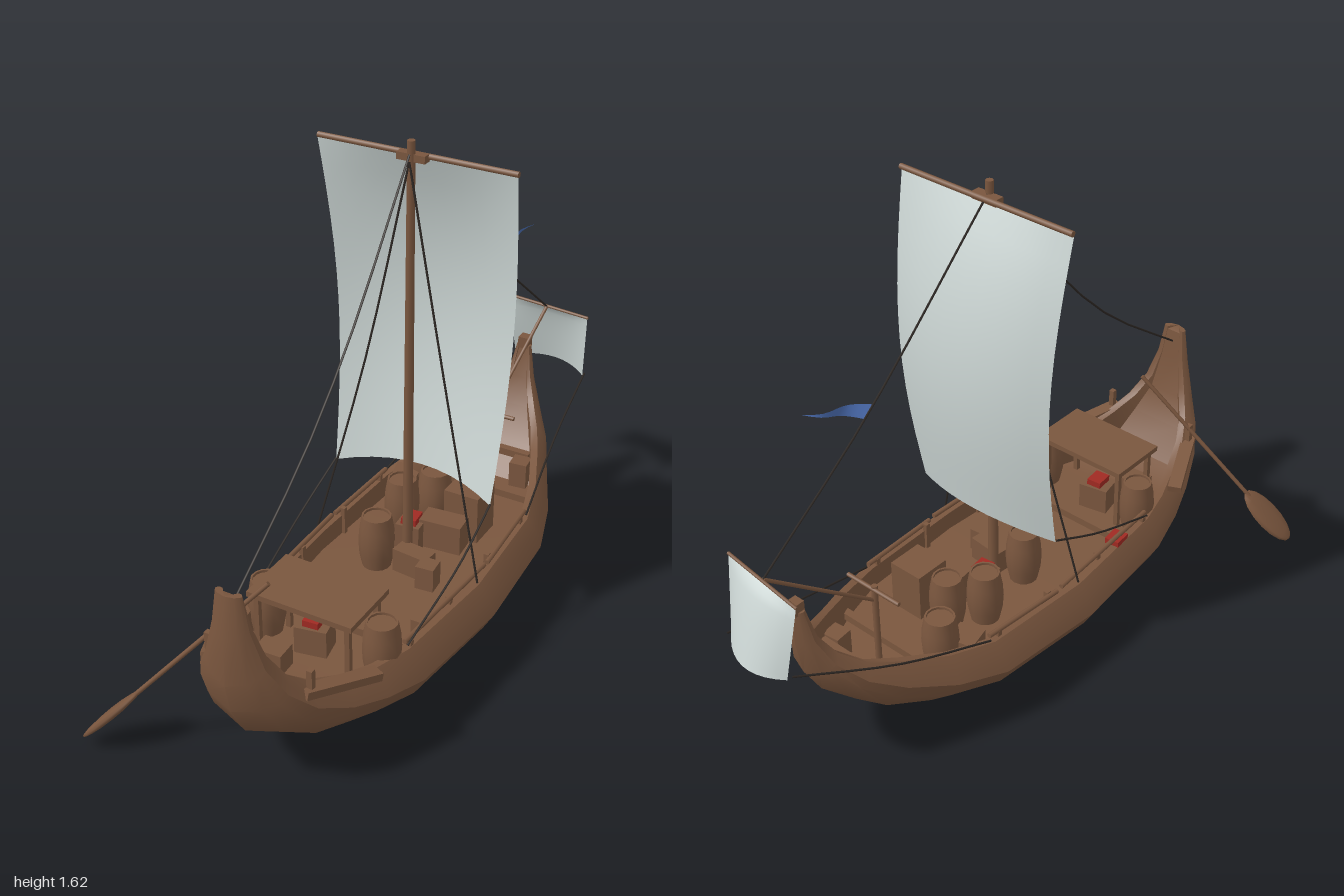
import * as THREE from 'three';
import { toCreasedNormals } from 'three/addons/utils/BufferGeometryUtils.js';

const CX = 0.085; // centre line of the ship
const mat = (name, color, side = THREE.FrontSide) => {
  const m = new THREE.MeshStandardMaterial({ color, side });
  m.name = name;
  return m;
};
const V = (x, y, z) => new THREE.Vector3(x, y, z);

export function createModel() {
  const ship = new THREE.Group();
  ship.name = 'sailingBoat';
  const wood = mat('brown wood', 0x7a563e);
  const canvas = mat('pale canvas', 0xccd6d4, THREE.DoubleSide);
  const ropeMat = mat('dark rope', 0x2e2824);
  const red = mat('red cloth', 0xa02a22);
  const blue = mat('blue pennant', 0x4a6cb0, THREE.DoubleSide);

  const add = (name, geo, material, x = 0, y = 0, z = 0, ry = 0) => {
    const m = new THREE.Mesh(geo, material);
    m.name = name;
    m.position.set(x, y, z);
    m.rotation.y = ry;
    ship.add(m);
    return m;
  };
  const box = (name, w, h, d, x, y, z, ry = 0, material = wood) =>
    add(name, new THREE.BoxGeometry(w, h, d), material, x, y, z, ry);
  const rod = (name, a, b, r0, r1 = r0, material = wood) => {
    const m = add(name, new THREE.CylinderGeometry(r1, r0, a.distanceTo(b), 8), material);
    m.position.copy(a).add(b).multiplyScalar(0.5);
    m.quaternion.setFromUnitVectors(V(0, 1, 0), b.clone().sub(a).normalize());
    return m;
  };
  const rope = (name, ...pts) =>
    add(name, new THREE.TubeGeometry(new THREE.CatmullRomCurve3(pts), 8, 0.0035, 5), ropeMat);
  const sheet = (name, fn, material, nx = 10, ny = 12) => {
    const geo = new THREE.PlaneGeometry(2, 1, nx, ny);
    const p = geo.attributes.position;
    for (let i = 0; i < p.count; i++) p.setXYZ(i, ...fn(p.getX(i), p.getY(i) + 0.5));
    geo.computeVertexNormals();
    return add(name, geo, material);
  };

  // Hull with bulwarks and deck: keel z, keel y, rim z, rim y, rim half width
  const stations = [
    [0.96, 0.71, 0.93, 0.71, 0.035], [0.975, 0.58, 0.92, 0.61, 0.05],
    [0.98, 0.43, 0.9, 0.51, 0.08], [0.96, 0.33, 0.86, 0.43, 0.12],
    [0.9, 0.22, 0.79, 0.375, 0.16], [0.8, 0.14, 0.68, 0.33, 0.2],
    [0.65, 0.08, 0.58, 0.31, 0.235], [0.46, 0.02, 0.46, 0.3, 0.265],
    [0.07, 0, 0.07, 0.285, 0.29], [-0.31, 0.02, -0.31, 0.295, 0.272],
    [-0.5, 0.07, -0.46, 0.32, 0.23], [-0.64, 0.13, -0.6, 0.36, 0.17],
    [-0.77, 0.27, -0.69, 0.39, 0.125], [-0.83, 0.38, -0.76, 0.45, 0.075],
    [-0.85, 0.5, -0.8, 0.52, 0.04], [-0.85, 0.62, -0.82, 0.62, 0.022],
  ];
  const profile = [[0, 0], [0.74, 0.21], [1.07, 0.46], [1.19, 0.67], [1.12, 0.85], [1, 1]];
  const pos = [], idx = [];
  const ringSize = 14;
  stations.forEach(([zk, yk, zr, yr, w], i) => {
    const side = profile.map(([m, f]) => [m * w, yk + (yr - yk) * f, zk + (zr - zk) * f]);
    const yd = Math.min(Math.max(0.22, yk + 0.04), yr - 0.01);
    const wi = Math.max(w - 0.025, w * 0.7);
    side.push([wi, yr, zr], [wi, yd, zr]);
    const ring = [...side, ...side.slice(1).reverse().map(([x, y, z]) => [-x, y, z])];
    // The keel point is shared, so each ring has 15 points
    ring.forEach(([x, y, z]) => pos.push(x + CX, y, z));
    const n = ringSize + 1;
    for (let j = 0; j < n && i < stations.length - 1; j++) {
      const a = i * n + j, b = i * n + (j + 1) % n;
      idx.push(a, a + n, b, b, a + n, b + n);
    }
    for (let j = 1; j < n - 1; j++) {
      if (i === 0) idx.push(0, j, j + 1);
      if (i === stations.length - 1) idx.push(i * n, i * n + j + 1, i * n + j);
    }
  });
  const hull = new THREE.BufferGeometry();
  hull.setAttribute('position', new THREE.Float32BufferAttribute(pos, 3));
  hull.setIndex(idx);
  add('hull', toCreasedNormals(hull, 0.6), wood);
  box('bowPostCap', 0.036, 0.04, 0.036, CX, 0.63, -0.835);

  // Cross beams
  for (const [z, w, y] of [[0.38, 0.5, 0.235], [-0.48, 0.4, 0.25], [-0.65, 0.24, 0.3]])
    box('crossBeam', w, 0.025, 0.025, CX, y, z);

  // Side rails and steering boards
  for (const s of [-1, 1]) {
    rod('sideRail', V(CX + s * 0.25, 0.32, 0.46), V(CX + s * 0.272, 0.31, 0), 0.008);
    rod('sideRail', V(CX + s * 0.272, 0.305, -0.02), V(CX + s * 0.255, 0.315, -0.32), 0.008);
    for (const z of [0.44, 0.2, -0.05, -0.28])
      box('railPost', 0.016, 0.1, 0.016, CX + s * 0.257, 0.265, z);
    const board = box('steeringBoard', 0.045, 0.025, 0.25, CX + s * 0.205, 0.348, 0.73);
    board.lookAt(CX + s * 0.15, 0.375, 0.85);
    box('oarLock', 0.018, 0.08, 0.018, CX + s * 0.165, 0.4, 0.82);
  }

  // Mast, yard and mainsail
  rod('mast', V(CX, 0.2, -0.01), V(CX, 1.62, -0.01), 0.017, 0.012);
  rod('yard', V(-0.23, 1.572, -0.035), V(0.4, 1.572, -0.035), 0.009);
  box('yardBlock', 0.09, 0.022, 0.03, CX, 1.57, -0.02);
  sheet('mainSail', (u, v) => [
    CX + u * (0.27 + 0.045 * v),
    0.505 + 1.065 * v + 0.03 * (1 - v) * (1 - u * u),
    -0.03 - 0.065 * Math.sin(Math.PI * v) - 0.065 * (1 - u * u) * (1 - v ** 5),
  ], canvas);

  // Bow sail on its own spar
  sheet('bowSail', (u, v) => [
    0.13 + u * (0.135 + 0.02 * v),
    0.5 + 0.245 * v,
    -0.905 + 0.017 * u - 0.04 * (1 - v) - 0.06 * (1 - u * u) * Math.sqrt(1 - v),
  ], canvas);
  rod('bowSailYard', V(-0.028, 0.745, -0.922), V(0.288, 0.745, -0.886), 0.005);
  rod('bowSpar', V(CX, 0.45, -0.53), V(0.13, 0.745, -0.9), 0.006);
  rod('bowFramePost', V(CX, 0.22, -0.535), V(CX, 0.51, -0.535), 0.01);
  rod('bowFrameBar', V(-0.02, 0.5, -0.54), V(0.19, 0.5, -0.54), 0.007);

  // Rigging
  rope('sternStay', V(CX, 1.58, 0), V(CX, 1.17, 0.32), V(CX, 0.93, 0.56), V(CX, 0.66, 0.93));
  rope('bowStay', V(CX, 1.58, -0.02), V(0.105, 1.08, -0.51), V(0.13, 0.745, -0.9));
  for (const s of [-1, 1]) {
    rope('shroud', V(CX, 1.56, 0), V(CX + s * 0.13, 0.93, 0.02), V(CX + s * 0.285, 0.29, 0.07));
    rope('mainSheet', V(CX + s * 0.27, 0.51, -0.03), V(CX + s * 0.275, 0.42, 0.17),
      V(CX + s * 0.26, 0.31, 0.46));
    rope('bowSheet', V(0.13 + s * 0.135, 0.5, -0.945), V(CX + s * 0.21, 0.41, -0.65),
      V(CX + s * 0.262, 0.3, -0.32));
  }

  // Pennant on the bow stay
  sheet('pennant', (u, v) => {
    const t = (u + 1) / 2;
    return [0.105 + 0.075 * t + 0.015 * Math.sin(t * 6), 1.08 + 0.065 * t + 0.035 * v * (1 - t),
      -0.51 - 0.16 * t + 0.03 * v * (1 - t)];
  }, blue, 8, 1);

  // Steering oar
  const oarTop = V(0.075, 0.61, 0.745), neck = V(-0.28, 0.2, 0.9), tip = V(-0.43, 0.035, 0.975);
  rod('oarShaft', oarTop, neck.clone().lerp(tip, 0.3), 0.007);
  const blade = add('oarBlade', new THREE.SphereGeometry(1, 10, 8), wood);
  const along = tip.clone().sub(neck).normalize();
  const flat = V(0, 0, 1).addScaledVector(along, -along.z).normalize();
  blade.quaternion.setFromRotationMatrix(
    new THREE.Matrix4().makeBasis(flat, along, flat.clone().cross(along)));
  blade.position.copy(neck).add(tip).multiplyScalar(0.5);
  blade.scale.set(0.055, 0.12, 0.014);

  // Canopy
  box('canopyRoof', 0.345, 0.018, 0.21, 0.09, 0.445, 0.527);
  box('canopyFrame', 0.31, 0.015, 0.18, 0.09, 0.43, 0.527);
  for (const x of [-0.06, 0.24]) for (const z of [0.45, 0.61])
    box('canopyPost', 0.016, 0.21, 0.016, x, 0.325, z);

  // Barrels
  const barrelGeo = new THREE.LatheGeometry(
    [[0, 0], [0.046, 0], [0.055, 0.045], [0.058, 0.09], [0.055, 0.135], [0.047, 0.18],
      [0.041, 0.18], [0.041, 0.172], [0, 0.172]].map(([x, y]) => new THREE.Vector2(x, y)), 14);
  const barrel = toCreasedNormals(barrelGeo, 0.6);
  for (const [x, z] of [[-0.11, 0.49], [0.285, 0.5], [-0.065, -0.42], [0.04, -0.275],
    [-0.03, -0.18], [0.005, 0.045]]) add('barrel', barrel, wood, x, 0.22, z);

  // Crates: width, height, depth, x, z, turn
  for (const [w, h, d, x, z, r] of [
    [0.06, 0.09, 0.06, 0.195, -0.6, 0.1], [0.085, 0.09, 0.085, -0.11, -0.355, 0.25],
    [0.12, 0.165, 0.12, 0.17, -0.265, 0], [0.14, 0.1, 0.08, 0.14, -0.15, 0.1],
    [0.12, 0.08, 0.06, 0.13, 0.03, -0.1], [0.06, 0.08, 0.06, 0.2, 0.07, 0.1],
    [0.055, 0.07, 0.055, 0.31, 0.3, 0], [0.05, 0.07, 0.05, -0.165, 0.31, 0],
    [0.09, 0.07, 0.07, 0, 0.63, 0.05], [0.1, 0.09, 0.08, 0.06, 0.5, 0.2],
    [0.08, 0.09, 0.08, 0.05, -0.1, 0.1]])
    box('crate', w, h, d, x, 0.22 + h / 2, z, r);
  for (const [x, y, z] of [[-0.165, 0.3, 0.31], [0.06, 0.32, 0.5], [0.05, 0.32, -0.1]])
    box('redBundle', 0.05, 0.022, 0.06, x, y, z, 0.1, red);

  return ship;
}
